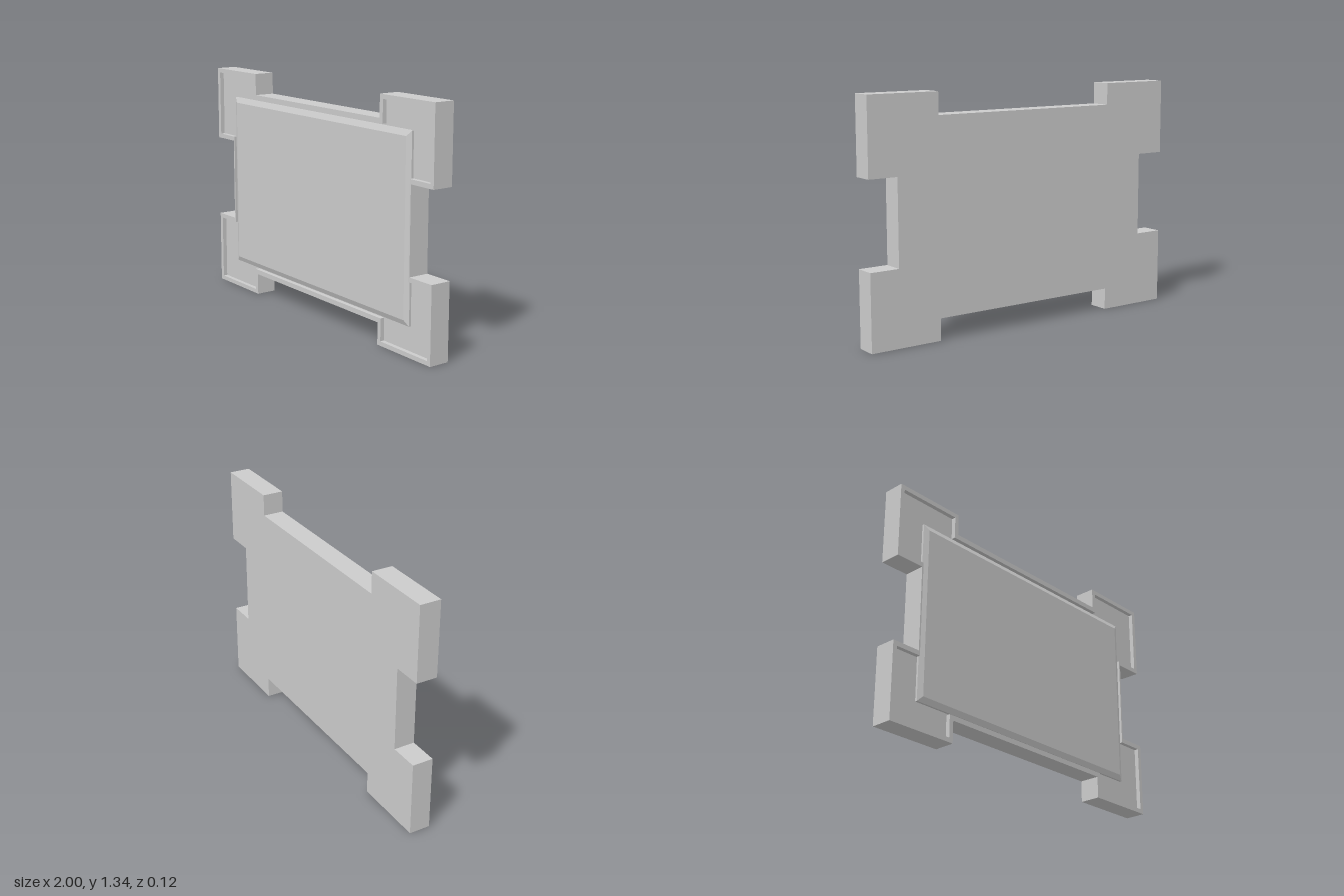
import * as THREE from 'three';

const CENTRE_Y = 0.67, FRONT = 0.06, FLOOR = 0.035;

// Four-fold symmetric plate outline: full size, narrow top/bottom and side waists
function outlinePoints({ x, y, notchX, waistY, waistX, notchY }) {
  const quarter = [[x, notchY], [x, y], [notchX, y], [notchX, waistY]];
  const side = [[waistX, notchY], ...quarter];
  const mirrored = side.map(([a, b]) => [-a, b]).reverse();
  const top = [...side, ...mirrored];
  const bottom = top.map(([a, b]) => [-a, -b]);
  return [...top, ...bottom].map(([a, b]) => new THREE.Vector2(a, b));
}

export function createModel() {
  const group = new THREE.Group();
  const material = new THREE.MeshStandardMaterial({ color: 0xcccccc });

  const add = (name, shape, z, options) => {
    const geometry = new THREE.ExtrudeGeometry(shape, { bevelEnabled: false, ...options });
    const mesh = new THREE.Mesh(geometry, material);
    mesh.name = name;
    mesh.position.set(0, CENTRE_Y, z);
    group.add(mesh);
  };

  const outer = outlinePoints({ x: 1, y: 0.67, notchX: 0.577, waistY: 0.546, waistX: 0.83, notchY: 0.241 });
  const inner = outlinePoints({ x: 0.975, y: 0.645, notchX: 0.602, waistY: 0.518, waistX: 0.821, notchY: 0.267 });

  // Solid back plate with square corner blocks
  add('backPlate', new THREE.Shape(outer), -FRONT, { depth: FLOOR + FRONT });

  // Thin raised rim following the outline
  const rim = new THREE.Shape(outer);
  rim.holes.push(new THREE.Path(inner));
  add('rim', rim, FLOOR, { depth: FRONT - FLOOR });

  // Raised centre panel with a chamfered edge; its rear chamfer is sunk in the plate
  const w = 0.788, h = 0.479, chamfer = 0.013;
  const panel = new THREE.Shape([[-w, -h], [w, -h], [w, h], [-w, h]].map(p => new THREE.Vector2(...p)));
  add('centrePanel', panel, FRONT - chamfer - 0.03, {
    depth: 0.03, bevelEnabled: true, bevelThickness: chamfer, bevelSize: 0.03, bevelSegments: 1,
  });

  return group;
}
